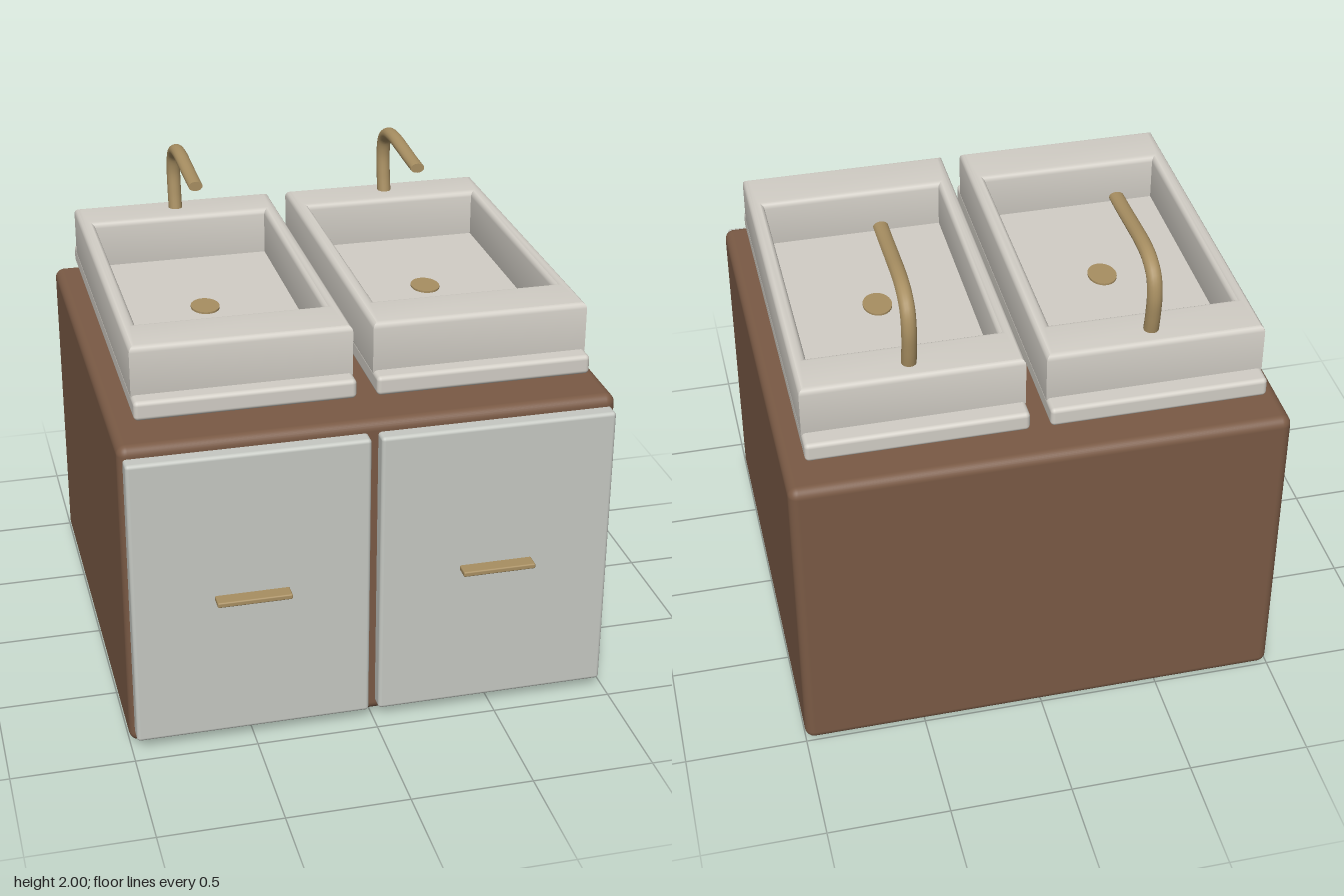
import * as THREE from 'three';
import { RoundedBoxGeometry } from 'three/addons/geometries/RoundedBoxGeometry.js';
import { toCreasedNormals } from 'three/addons/utils/BufferGeometryUtils.js';

const paint = (color) => new THREE.MeshStandardMaterial({ color });
const wood = paint(0x7a5a45);
const panel = paint(0xc6c9c3);
const ceramic = paint(0xd2cec6);
const brass = paint(0xa88f62);

function add(parent, name, geometry, material) {
  const mesh = new THREE.Mesh(geometry, material);
  mesh.name = name;
  parent.add(mesh);
  return mesh;
}

// Rounded box given by its lowest and highest corner
function block(parent, name, lo, hi, radius, material) {
  const size = hi.map((v, i) => v - lo[i]);
  const mesh = add(parent, name, new RoundedBoxGeometry(...size, 4, radius), material);
  mesh.position.set(...hi.map((v, i) => (v + lo[i]) / 2));
  return mesh;
}

function rectangle(target, x, z0, z1) {
  target.moveTo(-x, z0);
  target.lineTo(x, z0);
  target.lineTo(x, z1);
  target.lineTo(-x, z1);
  target.closePath();
  return target;
}

// Hollow rectangular wall with rounded inner and outer rim
function basinWallGeometry() {
  const b = 0.025, bottom = 1.45, top = 1.68;
  // shape y becomes -z once the extrusion points up
  const shape = rectangle(new THREE.Shape(), 0.4375 - b, -0.715 + b, 0.825 - b);
  shape.holes.push(rectangle(new THREE.Path(), 0.375 + b, -0.49 - b, 0.615 + b));
  const geometry = new THREE.ExtrudeGeometry(shape, {
    depth: top - bottom - 2 * b, bevelEnabled: true, bevelSize: b, bevelThickness: b, bevelSegments: 4,
  });
  geometry.rotateX(-Math.PI / 2);
  geometry.translate(0, bottom + b, 0);
  return toCreasedNormals(geometry, 0.7);
}

// Bent spout, slightly flattened towards its tip
function addFaucet(parent) {
  const faucet = new THREE.Group();
  faucet.name = 'faucet';
  parent.add(faucet);
  const path = new THREE.CatmullRomCurve3([
    [1.66, -0.733], [1.75, -0.75], [1.85, -0.758], [1.925, -0.735], [1.965, -0.67],
    [1.977, -0.58], [1.972, -0.45], [1.964, -0.32], [1.96, -0.21],
  ].map(([y, z]) => new THREE.Vector3(0, y, z)));
  const steps = 48, sides = 16, radius = 0.03;
  const tube = new THREE.TubeGeometry(path, steps, radius, sides);
  const position = tube.attributes.position;
  for (let i = 0; i < position.count; i++) {
    const t = Math.floor(i / (sides + 1)) / steps;
    const c = path.getPointAt(t);
    const k = THREE.MathUtils.lerp(1.05, 0.68, t);
    position.setY(i, c.y + (position.getY(i) - c.y) * k);
    position.setZ(i, c.z + (position.getZ(i) - c.z) * k);
  }
  tube.computeVertexNormals();
  add(faucet, 'spout', tube, brass);
  const tip = add(faucet, 'spoutTip', new THREE.CircleGeometry(radius, sides), brass);
  tip.position.copy(path.getPointAt(1));
  tip.scale.y = 0.68;
}

function addSink(parent, side) {
  const sink = new THREE.Group();
  sink.name = side > 0 ? 'leftSink' : 'rightSink';
  sink.position.x = side * 0.478;
  parent.add(sink);
  block(sink, 'basinBase', [-0.4375, 1.4, -0.905], [0.4375, 1.48, 0.785], 0.018, ceramic);
  add(sink, 'basinWall', basinWallGeometry(), ceramic);
  const drain = add(sink, 'drain', new THREE.CylinderGeometry(0.06, 0.06, 0.02, 32), brass);
  drain.position.set(0, 1.478, -0.06);
  drain.scale.z = 1.27;
  addFaucet(sink);
}

function addDoor(parent, side) {
  const door = new THREE.Group();
  door.name = side > 0 ? 'leftDoor' : 'rightDoor';
  door.position.x = side * 0.5;
  parent.add(door);
  block(door, 'doorPanel', [-0.48, 0.05, 0.84], [0.48, 1.295, 0.94], 0.015, panel);
  block(door, 'handle', [-0.15, 0.664, 0.92], [0.15, 0.686, 1], 0.006, brass);
}

export function createModel() {
  const model = new THREE.Group();
  model.name = 'doubleVanity';
  block(model, 'cabinet', [-1, 0.005, -1], [1, 1.34, 0.88], 0.04, wood);
  for (const side of [-1, 1]) {
    addDoor(model, side);
    addSink(model, side);
  }
  return model;
}
